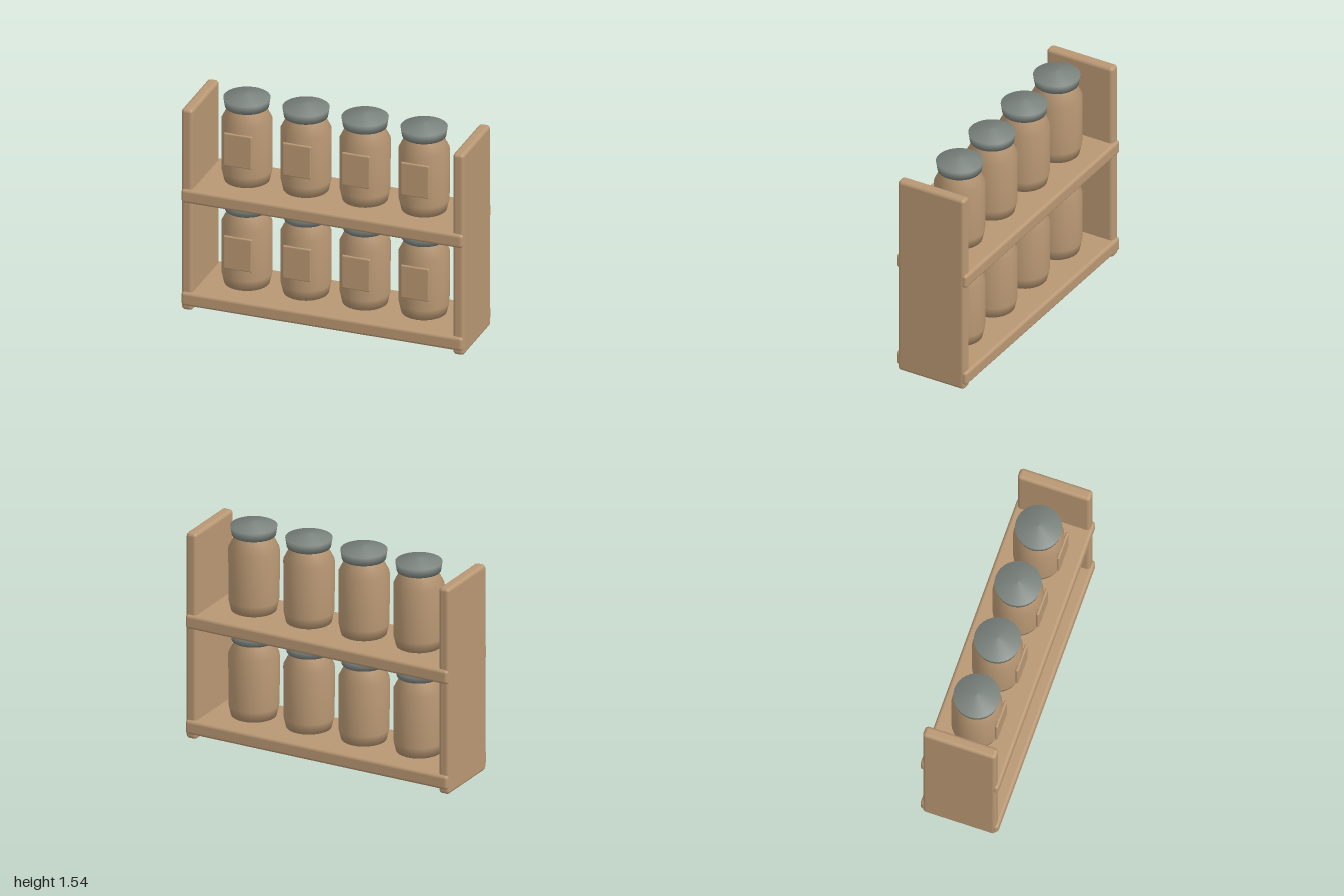
import * as THREE from 'three';
import { RoundedBoxGeometry } from 'three/addons/geometries/RoundedBoxGeometry.js';

const wood = new THREE.MeshStandardMaterial({ color: 0xb89773 });
wood.name = 'tan';
const metal = new THREE.MeshStandardMaterial({ color: 0x7b837d });
metal.name = 'grey lid';

function roundedBox(name, size, radius, position) {
  const mesh = new THREE.Mesh(new RoundedBoxGeometry(...size, 3, radius), wood);
  mesh.name = name;
  mesh.position.set(...position);
  return mesh;
}

function lathe(name, points, material) {
  const profile = points.map(([r, y]) => new THREE.Vector2(r, y));
  const mesh = new THREE.Mesh(new THREE.LatheGeometry(profile, 32), material);
  mesh.name = name;
  return mesh;
}

// Jar with its base at y = 0 and its label towards +z
function createJar() {
  const jar = new THREE.Group();
  jar.name = 'jar';
  jar.add(
    lathe('jarBody', [[0, 0], [0.152, 0], [0.169, 0.075], [0.17, 0.44], [0.125, 0.53], [0.125, 0.56]], wood),
    lathe('lid', [[0, 0.535], [0.147, 0.535], [0.157, 0.598], [0, 0.628]], metal),
    roundedBox('label', [0.2, 0.24, 0.02], 0.009, [0, 0.276, 0.168])
  );
  return jar;
}

export function createModel() {
  const rack = new THREE.Group();
  rack.name = 'jarRack';

  // Upright end panels
  for (const side of [-1, 1]) {
    rack.add(roundedBox(side > 0 ? 'leftPanel' : 'rightPanel', [0.08, 1.475, 0.51], 0.025, [side * 0.96, 0.7375, 0]));
  }

  // Two shelves, each carrying a row of four jars
  [0.088, 0.843].forEach((y, row) => {
    rack.add(roundedBox(row ? 'upperShelf' : 'lowerShelf', [1.992, 0.1, 0.545], 0.022, [0, y, 0]));
    for (let i = 0; i < 4; i++) {
      const jar = createJar();
      jar.position.set(-0.63 + i * 0.418, y + 0.071, 0);
      rack.add(jar);
    }
  });
  return rack;
}
